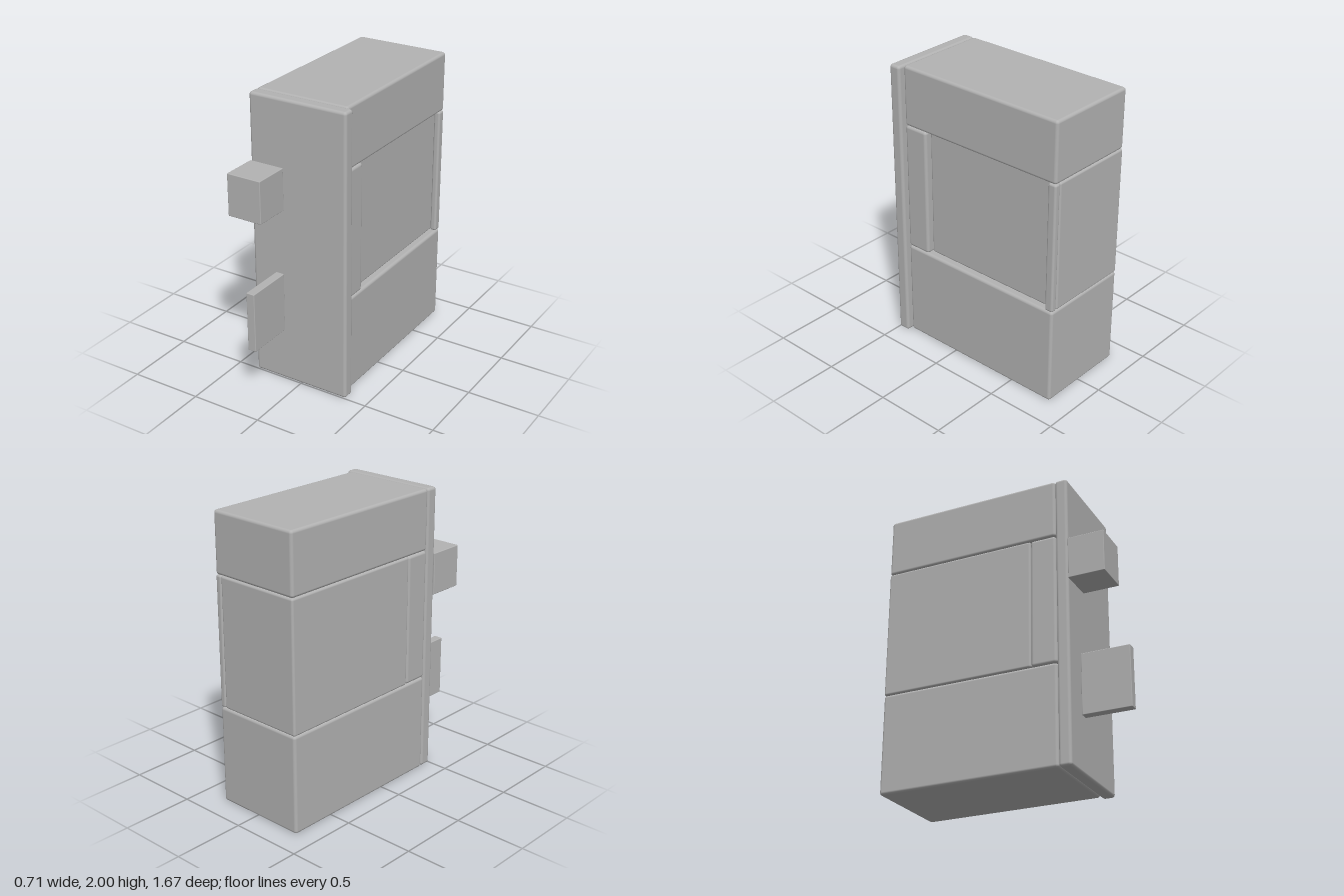
import * as THREE from 'three';
import { RoundedBoxGeometry } from 'three/addons/geometries/RoundedBoxGeometry.js';

export function createModel() {
  const model = new THREE.Group();
  model.name = 'safeCabinet';
  const grey = new THREE.MeshStandardMaterial({ color: 0xb2b2b2 });
  grey.name = 'plain grey';

  // Rounded box given by its [min, max] extent on each axis
  function block(name, [x0, x1], [y0, y1], [z0, z1], radius) {
    const geometry = new RoundedBoxGeometry(x1 - x0, y1 - y0, z1 - z0, 3, radius);
    const mesh = new THREE.Mesh(geometry, grey);
    mesh.name = name;
    mesh.position.set((x0 + x1) / 2, (y0 + y1) / 2, (z0 + z1) / 2);
    model.add(mesh);
  }

  const bodyX = [-0.355, 0.31];
  const bodyZ = [-0.833, 0.415];
  const middleY = [0.685, 1.585];

  // Body: three stacked sections, the middle one recessed on the left side
  block('lowerBody', bodyX, [0, 0.685], bodyZ, 0.02);
  block('upperBody', bodyX, [1.585, 2], bodyZ, 0.02);
  block('middleCore', [-0.355, 0.265], middleY, [-0.833, 0.235], 0.015);
  block('frontPost', bodyX, middleY, [0.235, 0.415], 0.02);
  block('rearTrim', [0.265, 0.31], middleY, [-0.833, -0.772], 0.015);

  // Front plate with its projecting fittings
  block('frontPlate', [-0.355, 0.35], [0, 2], [0.415, 0.5], 0.02);
  block('frontKnob', [-0.355, -0.108], [1.255, 1.545], [0.5, 0.75], 0.005);
  block('frontHandle', [-0.178, -0.118], [0.38, 0.798], [0.5, 0.833], 0.005);

  return model;
}
